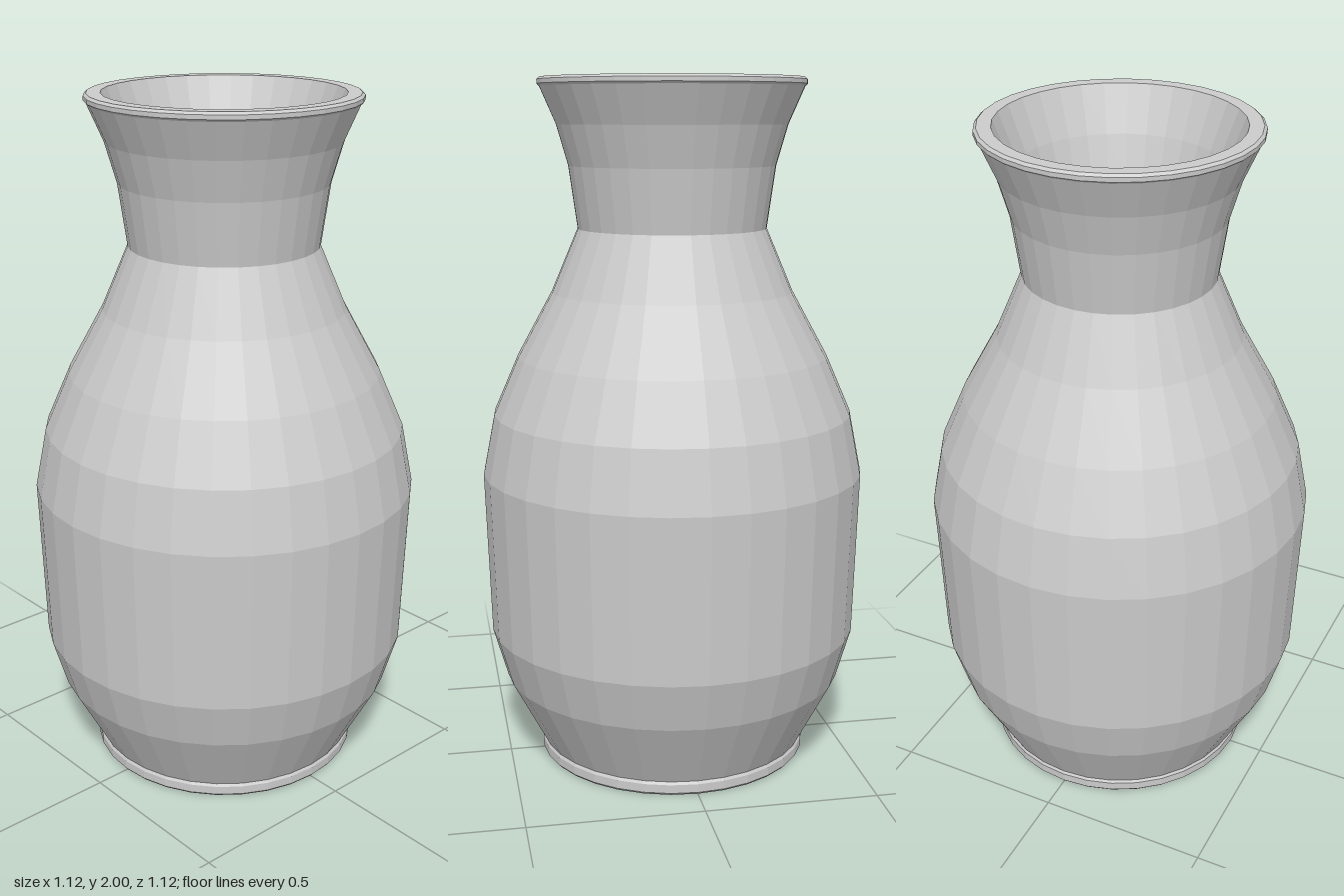
import * as THREE from 'three';

const SIDES = 32;
const WALL = 0.045;

export function createModel() {
  const model = new THREE.Group();
  model.name = 'vase';
  const material = new THREE.MeshStandardMaterial({ color: 0xcccccc, flatShading: true });

  const addLathe = (name, profile) => {
    const points = profile.map(([r, y]) => new THREE.Vector2(r, y));
    const mesh = new THREE.Mesh(new THREE.LatheGeometry(points, SIDES), material);
    mesh.name = name;
    model.add(mesh);
  };

  // Outer profiles as [radius, height], bottom to top
  const belly = [
    [0.395, 0.04], [0.503, 0.245], [0.545, 0.39], [0.56, 0.867],
    [0.525, 1.043], [0.452, 1.21], [0.35, 1.396], [0.273, 1.577],
  ];
  const neck = [[0.273, 1.577], [0.298, 1.755], [0.331, 1.87], [0.377, 1.975]];

  // Foot ring with closed underside
  addLathe('foot', [[0, 0], [0.394, 0], [0.4, 0.007], [0.4, 0.032], [0.395, 0.04]]);
  addLathe('belly', belly);
  addLathe('neck', neck);

  // Flat lip with small bevels
  addLathe('rim', [[0.377, 1.975], [0.384, 1.981], [0.384, 1.993], [0.376, 2], [0.337, 2]]);

  // Inner wall runs parallel to the outside, down to a flat floor
  const inner = [...belly, ...neck.slice(1, -1)].map(([r, y]) => [r - WALL, y]);
  inner[0][1] += WALL;
  addLathe('innerWall', [[0.337, 2], ...inner.reverse(), [0, 0.04 + WALL]]);

  return model;
}
